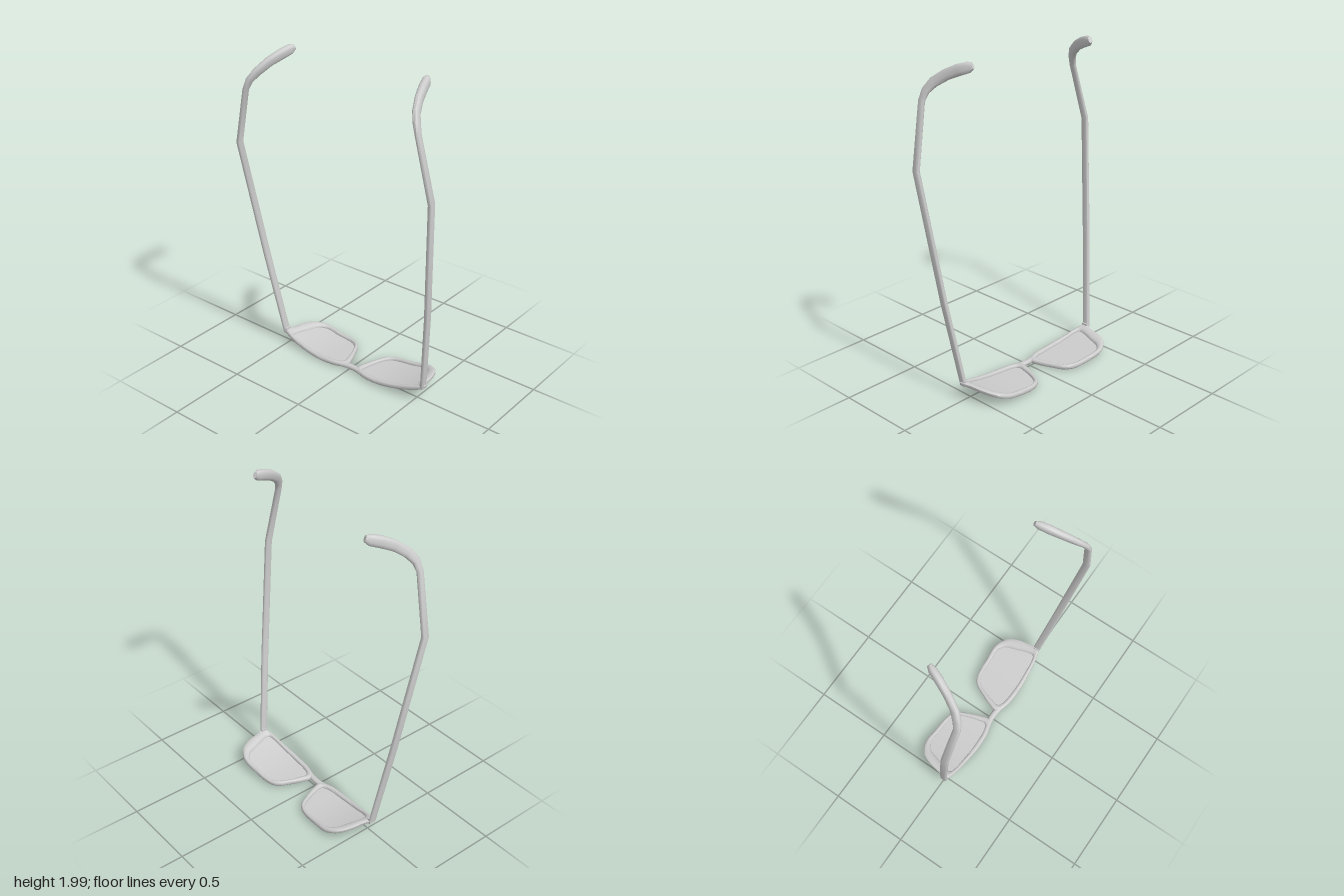
import * as THREE from 'three';
import { toCreasedNormals } from 'three/addons/utils/BufferGeometryUtils.js';

const grey = new THREE.MeshStandardMaterial({ color: 0xcccccc });
const lensGrey = new THREE.MeshStandardMaterial({ color: 0xcccccc, side: THREE.DoubleSide });
const V = (x, y, z) => new THREE.Vector3(x, y, z);
const SHIFT = 0.015; // the frame sits slightly off centre

// Face-wrap curve of the frame front, with its slight tilt
const wrapY = x => 0.028 + 0.45 * Math.max(0, Math.abs(x) - 0.15) ** 2 + 0.02 * x;

// Skin a list of equal-sized rings; optional end caps or closed loop
function loft(rings, { closed = false, crease = 0.7 } = {}) {
  const n = rings[0].length, m = rings.length, pos = [];
  const tri = (...p) => p.forEach(v => pos.push(v.x, v.y, v.z));
  for (let i = 0; i < (closed ? m : m - 1); i++) {
    const A = rings[i], B = rings[(i + 1) % m];
    for (let j = 0; j < n; j++) {
      const k = (j + 1) % n;
      tri(A[j], A[k], B[k]);
      tri(A[j], B[k], B[j]);
    }
  }
  if (!closed) {
    const mid = r => r.reduce((s, p) => s.add(p), V(0, 0, 0)).divideScalar(n);
    const a = rings[0], b = rings[m - 1], ca = mid(a), cb = mid(b);
    for (let j = 0; j < n; j++) {
      const k = (j + 1) % n;
      tri(ca, a[k], a[j]);
      tri(cb, b[j], b[k]);
    }
  }
  const g = new THREE.BufferGeometry();
  g.setAttribute('position', new THREE.Float32BufferAttribute(pos, 3));
  return toCreasedNormals(g, crease);
}

// Rounded-box section around c, spanned by half axes a and b
function section(c, a, b, n, power) {
  const soft = v => Math.sign(v) * Math.abs(v) ** power;
  return Array.from({ length: n }, (_, j) => {
    const t = (j + 0.5) / n * Math.PI * 2;
    return c.clone().addScaledVector(a, soft(Math.cos(t))).addScaledVector(b, soft(Math.sin(t)));
  });
}

function add(group, name, geometry, material = grey) {
  const mesh = new THREE.Mesh(geometry, material);
  mesh.name = name;
  group.add(mesh);
}

// Rim outline pairs: outer x, z, inner x, z
const RIM = [
  [0.30, -0.237, 0.29, -0.209], [0.41, -0.238, 0.385, -0.211], [0.48, -0.195, 0.43, -0.175],
  [0.515, -0.12, 0.455, -0.10], [0.53, -0.04, 0.475, -0.04], [0.552, 0.015, 0.48, 0.01],
  [0.50, 0.038, 0.455, 0.024], [0.365, 0.058, 0.36, 0.032], [0.22, 0.067, 0.235, 0.036],
  [0.10, 0.055, 0.11, 0.025], [0.037, 0.02, 0.077, 0.005], [0.05, -0.05, 0.085, -0.05],
  [0.08, -0.12, 0.11, -0.13], [0.115, -0.19, 0.14, -0.18], [0.165, -0.222, 0.185, -0.203],
];
const outline = k => new THREE.CatmullRomCurve3(RIM.map(r => V(r[k], 0, r[k + 1])), true, 'centripetal');
const STEPS = 60;

function rimGeometry(s) {
  const outer = outline(0), inner = outline(2), rings = [];
  for (let i = 0; i < STEPS; i++) {
    const o = outer.getPoint(i / STEPS), p = inner.getPoint(i / STEPS);
    [o, p].forEach(v => { v.x = s * v.x + SHIFT; });
    const c = o.clone().add(p).multiplyScalar(0.5), a = o.clone().sub(c);
    const ring = section(c, a, V(0, 0.016 * s, 0), 10, 0.8);
    ring.forEach(v => { v.y += wrapY(v.x); });
    rings.push(ring);
  }
  return loft(rings, { closed: true, crease: 0.9 });
}

// Lens: concentric rings bent along the wrap curve
function lensGeometry(s) {
  const edge = outline(2), pos = [], index = [], R = 8;
  for (let r = 0; r <= R; r++) {
    for (let i = 0; i < STEPS; i++) {
      const p = edge.getPoint(i / STEPS), c = V(0.28, 0, -0.085);
      p.sub(c).multiplyScalar(1.03 * r / R).add(c);
      const x = s * p.x + SHIFT;
      pos.push(x, wrapY(x) - 0.002, p.z);
      if (r === R) continue;
      const k = (i + 1) % STEPS, a = r * STEPS + i, b = r * STEPS + k;
      const quad = [a, b, b + STEPS, a, b + STEPS, a + STEPS];
      index.push(...(s > 0 ? quad : quad.reverse()));
    }
  }
  const g = new THREE.BufferGeometry();
  g.setAttribute('position', new THREE.Float32BufferAttribute(pos, 3));
  g.setIndex(index);
  g.computeVertexNormals();
  return g;
}

// Temple stations: x, y, z, thickness, depth, side offsets dx, dy
const ARM = [
  [0.538, 0.095, 0.008, 0.022, 0.046, 0.008, 0.01],
  [0.607, 0.63, 0.083, 0.025, 0.046, 0.004, 0],
  [0.687, 1.40, 0.19, 0.025, 0.044, -0.003, 0],
  [0.602, 1.76, 0.215, 0.027, 0.042, 0.004, 0.01],
  [0.582, 1.815, 0.203, 0.032, 0.05, 0.004, 0.01],
  [0.553, 1.862, 0.17, 0.036, 0.058, 0.005, 0.01],
  [0.52, 1.91, 0.105, 0.04, 0.062, 0.006, 0.008],
  [0.492, 1.943, 0.035, 0.044, 0.066, 0.008, 0.008],
  [0.473, 1.963, -0.02, 0.042, 0.062, 0.01, 0.008],
  [0.463, 1.974, -0.045, 0.024, 0.036, 0.01, 0.008],
];

function armGeometry(s) {
  const pts = ARM.map(r => V(s * r[0] + r[5], r[1] + s * r[6], r[2]));
  const rings = pts.map((p, i) => {
    const prev = pts[Math.max(0, i - 1)], next = pts[Math.min(pts.length - 1, i + 1)];
    const d0 = p.clone().sub(prev).normalize(), d1 = next.clone().sub(p).normalize();
    const t = d0.add(d1).normalize();
    const a = V(1, 0, 0).addScaledVector(t, -t.x).normalize();
    const b = t.clone().cross(a);
    return section(p, a.multiplyScalar(ARM[i][3] / 2), b.multiplyScalar(ARM[i][4] / 2), 12, i < 3 ? 0.5 : 0.75);
  });
  return loft(rings, { crease: 0.75 });
}

// Bridge between the rims, waisted in the middle
function bridgeGeometry() {
  const rings = [];
  for (let i = 0; i <= 12; i++) {
    const u = i / 6 - 1, x = u * 0.085 + SHIFT;
    const c = V(x, wrapY(x), 0.019 + 0.016 * u * u);
    rings.push(section(c, V(0, 0.0145, 0), V(0, 0, 0.019 - 0.003 * u * u), 10, 0.85));
  }
  return loft(rings, { crease: 0.9 });
}

export function createModel() {
  const model = new THREE.Group();
  model.name = 'glasses';
  for (const [s, side] of [[1, 'left'], [-1, 'right']]) {
    add(model, side + 'Rim', rimGeometry(s));
    add(model, side + 'Lens', lensGeometry(s), lensGrey);
    add(model, side + 'Temple', armGeometry(s));
    // Hinge block joining the temple to the frame corner
    const x = s * 0.533 + 0.01;
    const hinge = new THREE.BoxGeometry(0.022, 0.035, 0.04);
    hinge.translate(x, wrapY(x) + 0.005, 0.008);
    add(model, side + 'Hinge', hinge);
  }
  add(model, 'bridge', bridgeGeometry());
  return model;
}
